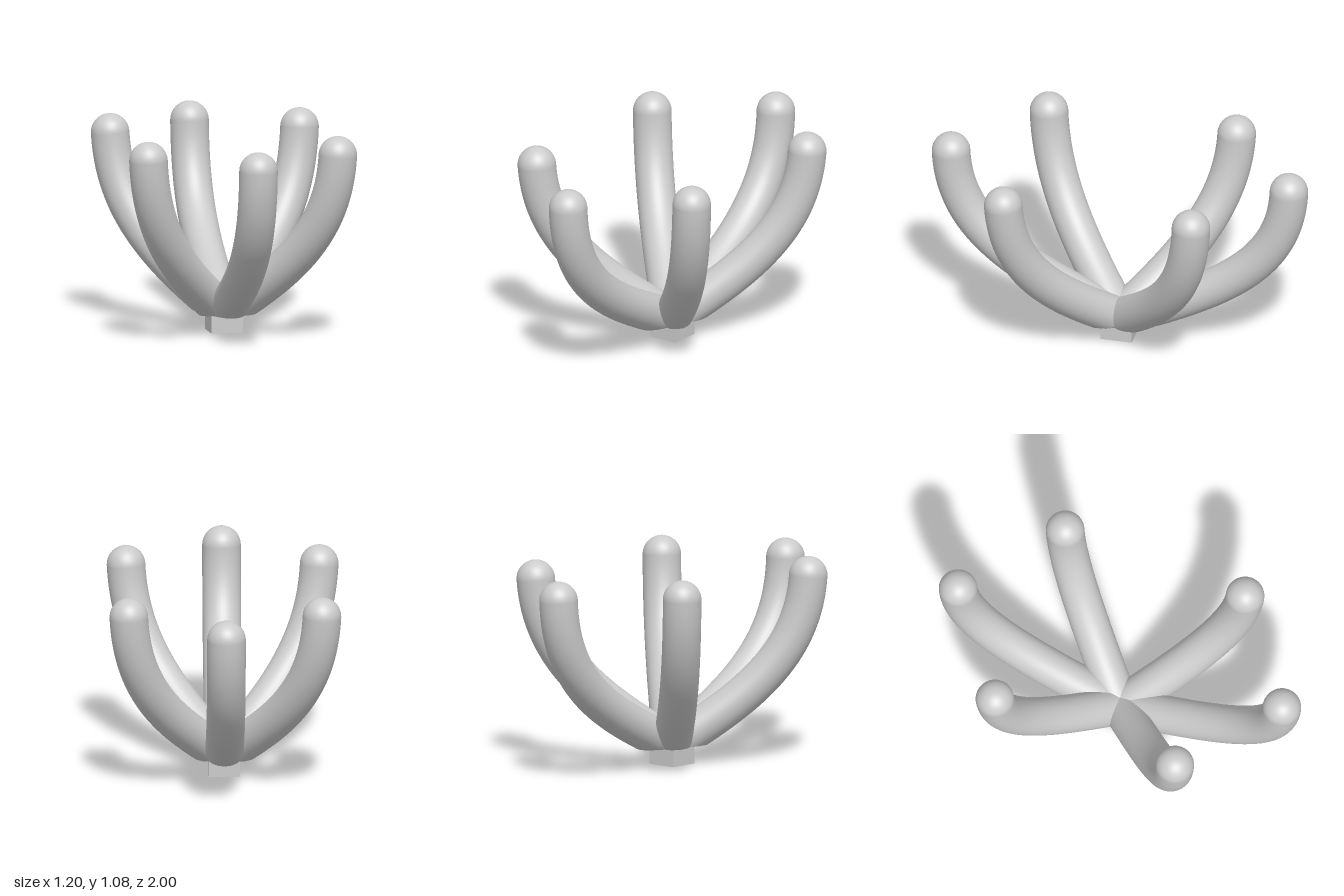
import * as THREE from 'three';
import { toCreasedNormals } from 'three/addons/utils/BufferGeometryUtils.js';

const RADIUS = 0.1;
const FLOOR = 0.1; // the underside of the arms is cut flat at this height

export function createModel() {
  const model = new THREE.Group();
  model.name = 'branchingArms';
  const material = new THREE.MeshStandardMaterial({ color: 0xcccccc, side: THREE.DoubleSide });

  function add(parent, name, geometry) {
    const mesh = new THREE.Mesh(geometry, material);
    mesh.name = name;
    parent.add(mesh);
    return mesh;
  }

  // Square foot
  add(model, 'foot', new THREE.BoxGeometry(0.165, 0.1, 0.165)).position.y = 0.05;

  // One upward-curving arm; profile gives [distance from centre, height]
  function addArm(name, dirX, dirZ, profile) {
    const arm = new THREE.Group();
    arm.name = name;
    const points = profile.map(([r, y]) => new THREE.Vector3(r * dirX, y, r * dirZ));
    const curve = new THREE.CubicBezierCurve3(...points);
    const tube = new THREE.TubeGeometry(curve, 64, RADIUS, 40, false);

    // Flatten the underside where the arms meet the foot
    const pos = tube.attributes.position;
    for (let i = 0; i < pos.count; i++) pos.setY(i, Math.max(pos.getY(i), FLOOR));
    add(arm, 'stem', toCreasedNormals(tube, 0.5));

    // Rounded tip, turned to follow the end of the stem
    const tip = add(arm, 'roundTip',
      new THREE.SphereGeometry(RADIUS, 40, 14, 0, Math.PI * 2, 0, Math.PI / 2));
    tip.position.copy(points[3]);
    tip.quaternion.setFromUnitVectors(new THREE.Vector3(0, 1, 0), curve.getTangent(1));
    model.add(arm);
  }

  // Long arms to the front and back
  const longProfile = [[0, 0.1], [0.5, 0.32], [0.88, 0.5], [0.9, 0.97]];
  // Shorter arms on the diagonals, measured along x and z
  const diagonalProfile = [[0, 0.1], [0.26, 0.33], [0.48, 0.55], [0.5, 0.98]];

  for (const z of [1, -1]) {
    const end = z > 0 ? 'front' : 'back';
    addArm(end + 'Arm', 0, z, longProfile);
    for (const x of [1, -1]) addArm(end + (x > 0 ? 'Left' : 'Right') + 'Arm', x, z, diagonalProfile);
  }
  return model;
}
